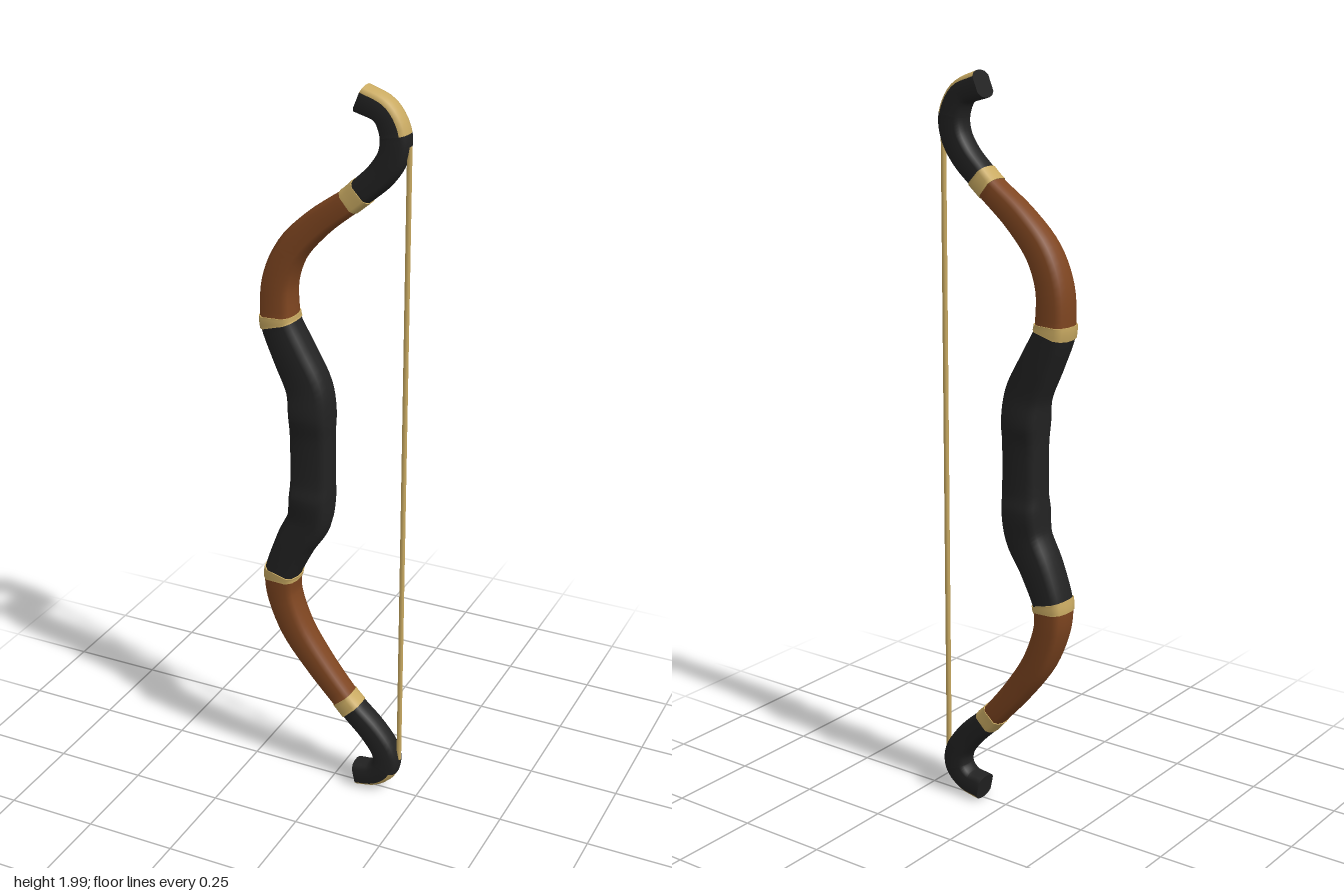
import * as THREE from 'three';

const mat = (name, color) => Object.assign(new THREE.MeshStandardMaterial({ color }), { name });

// Stations from the lower tip to the upper tip: x, y, half width, half depth
const STATIONS = [
  [0.072, 0.046, 0.035, 0.033], [0.125, 0.057, 0.034, 0.033], [0.158, 0.09, 0.037, 0.034],
  [0.157, 0.135, 0.037, 0.034], [0.117, 0.193, 0.036, 0.034],
  [0.058, 0.25, 0.034, 0.035], [0.03, 0.28, 0.033, 0.036],
  [-0.05, 0.375, 0.037, 0.039], [-0.115, 0.47, 0.041, 0.043], [-0.152, 0.57, 0.043, 0.046],
  [-0.155, 0.622, 0.046, 0.048], [-0.152, 0.645, 0.047, 0.049],
  [-0.115, 0.735, 0.053, 0.05], [-0.075, 0.81, 0.058, 0.05], [-0.066, 0.88, 0.058, 0.057],
  [-0.064, 0.93, 0.057, 0.049], [-0.064, 1.06, 0.057, 0.049],
  [-0.065, 1.12, 0.058, 0.057], [-0.073, 1.19, 0.058, 0.05], [-0.115, 1.28, 0.053, 0.05],
  [-0.152, 1.36, 0.047, 0.049], [-0.155, 1.385, 0.046, 0.048],
  [-0.152, 1.475, 0.043, 0.046], [-0.118, 1.56, 0.041, 0.043], [-0.045, 1.64, 0.037, 0.039],
  [0.042, 1.708, 0.033, 0.036], [0.075, 1.737, 0.034, 0.035],
  [0.125, 1.785, 0.036, 0.034], [0.155, 1.835, 0.037, 0.034], [0.16, 1.885, 0.037, 0.034],
  [0.132, 1.94, 0.034, 0.033], [0.07, 1.965, 0.036, 0.033],
];
const LAST = STATIONS.length - 1;
const centre = new THREE.CatmullRomCurve3(STATIONS.map(([x, y]) => new THREE.Vector3(x, y, 0)));
const size = new THREE.CatmullRomCurve3(
  STATIONS.map(([, , w, d]) => new THREE.Vector3(w, d, 0)), false, 'catmullrom');

// Cross-section with softened ridges; the first five facets face the string side
const PROFILE = [
  [0.6, -1], [0.88, -0.7], [1, -0.25], [1, 0.25], [0.88, 0.7], [0.6, 1],
  [-0.6, 1], [-0.88, 0.7], [-1, 0.25], [-1, -0.25], [-0.88, -0.7], [-0.6, -1],
];
const OUTER_FACETS = 5;

// Sweep the cross-section between two stations; group 1 holds the outer facets
function sweep(from, to, swell = 1) {
  const rows = Math.max(2, (to - from) * 5);
  const n = PROFILE.length;
  const pos = [], body = [], outer = [];
  const addRing = (t) => {
    const p = centre.getPoint(t), s = size.getPoint(t), dir = centre.getTangent(t);
    for (const [a, b] of PROFILE) {
      const w = a * s.x * swell;
      pos.push(p.x + dir.y * w, p.y - dir.x * w, b * s.y * swell);
    }
    return p;
  };
  for (let i = 0; i <= rows; i++) addRing((from + (to - from) * i / rows) / LAST);
  for (let i = 0; i < rows; i++) {
    for (let j = 0; j < n; j++) {
      const a = i * n + j, b = i * n + (j + 1) % n;
      (j < OUTER_FACETS ? outer : body).push(a, a + n, b, b, a + n, b + n);
    }
  }
  // End caps with their own rims, so the edges stay sharp
  for (const [station, flip] of [[from, false], [to, true]]) {
    const start = pos.length / 3;
    const p = addRing(station / LAST);
    pos.push(p.x, p.y, 0);
    for (let j = 0; j < n; j++) {
      const a = start + j, b = start + (j + 1) % n;
      body.push(start + n, flip ? b : a, flip ? a : b);
    }
  }
  const geo = new THREE.BufferGeometry();
  geo.setAttribute('position', new THREE.Float32BufferAttribute(pos, 3));
  geo.setIndex([...body, ...outer]);
  geo.addGroup(0, body.length, 0);
  geo.addGroup(body.length, outer.length, 1);
  geo.computeVertexNormals();
  return geo;
}

export function createModel() {
  const wood = mat('brown wood', 0x7e4520);
  const leather = mat('black leather', 0x222222);
  const gold = mat('pale gold', 0xc9aa62);
  const bow = new THREE.Group();
  bow.name = 'bow';

  const add = (name, geometry, material) => {
    const mesh = new THREE.Mesh(geometry, material);
    mesh.name = name;
    bow.add(mesh);
    return mesh;
  };

  // Wrapped grip with two knuckle swellings
  add('grip', sweep(11, 20), leather);

  // Each half: collar, wooden limb, collar, wrapped hook, gold-backed tip
  for (const [side, at] of [['lower', (i) => i], ['upper', (i) => LAST - i]]) {
    const part = (name, a, b, material, swell) => {
      const [from, to] = [at(a), at(b)].sort((p, q) => p - q);
      add(side + name, sweep(from, to, swell), material);
    };
    part('GripCollar', 10, 11, gold, 1.06);
    part('Limb', 6, 10, wood);
    part('HookCollar', 5, 6, gold, 1.06);
    part('Hook', 2, 5, leather);
    part('Tip', 0, 2, [leather, gold]);
  }

  // Taut string between the hooks
  add('string', new THREE.CylinderGeometry(0.007, 0.007, 1.74, 8), gold).position.set(0.196, 0.99, 0);

  return bow;
}
